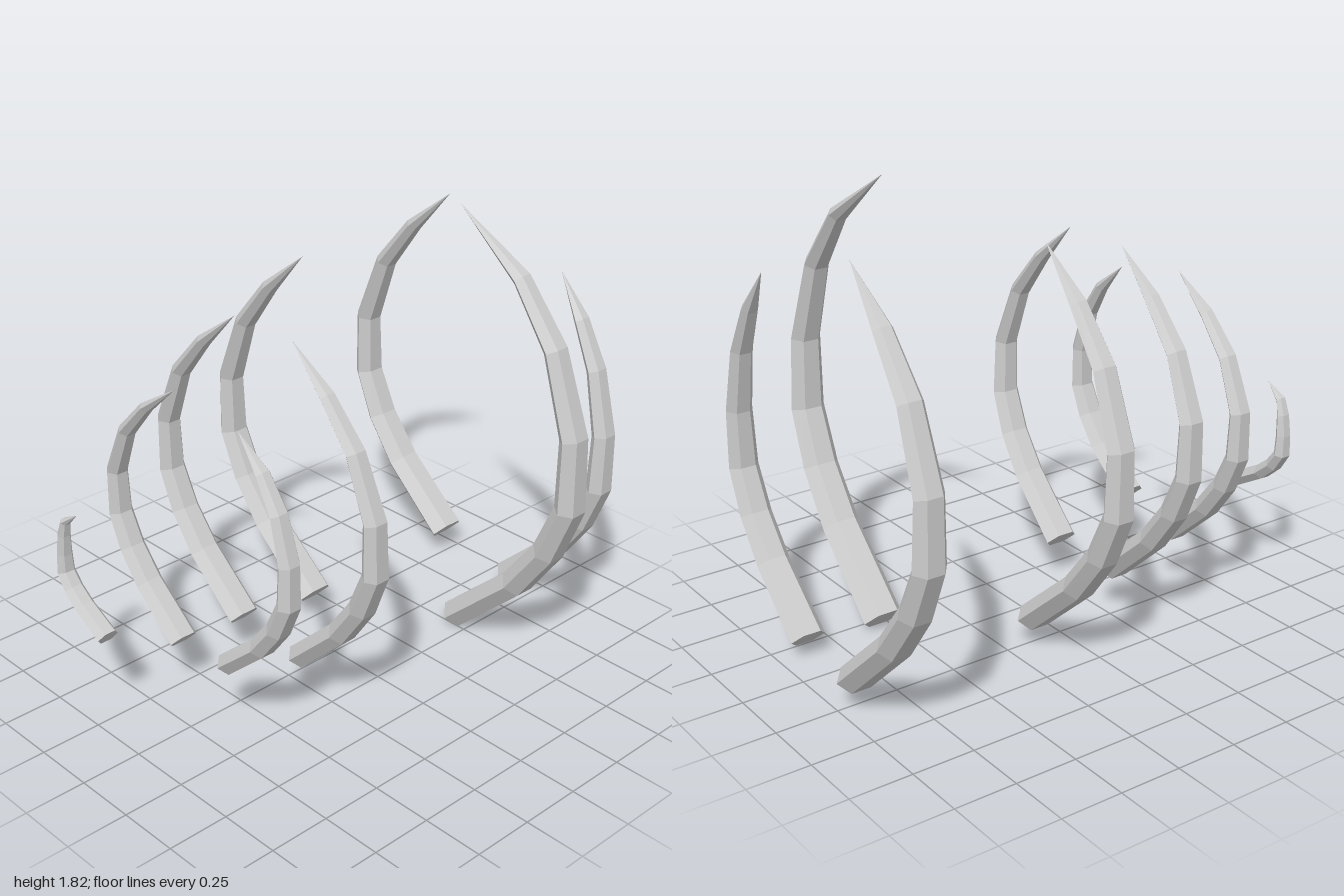
import * as THREE from 'three';

const SIDES = 6;
const FLATNESS = 0.65; // thickness of a rib relative to its width

// Shared rib profile: height fraction, outward bulge fraction, width fraction
const PROFILE = [
  [0, 0, 1], [0.16, 0.56, 0.96], [0.275, 0.83, 0.91], [0.4, 1, 0.86],
  [0.567, 1, 0.77], [0.75, 0.77, 0.65], [0.88, 0.43, 0.5], [1, 0, 0],
];

// side: 1 front, -1 back; base and tip are [x, distance from the middle, y];
// bulge is the farthest distance of the centre line; hook < 1 curls the tip
const RIBS = [
  { side: 1, base: [0.54, 0.18, 0.04], tip: [0.51, 0.14, 1.82], bulge: 0.735, width: 0.17, hook: 0.75 },
  { side: 1, base: [0.89, 0.15, 0.08], tip: [0.92, 0.31, 1.49], bulge: 0.58, width: 0.145, hook: 1 },
  { side: 1, base: [-0.285, 0.12, 0.175], tip: [-0.31, 0.11, 1.5], bulge: 0.525, width: 0.14, hook: 1 },
  { side: 1, base: [-0.638, 0.11, 0.295], tip: [-0.62, 0.17, 1.27], bulge: 0.435, width: 0.125, hook: 0.85 },
  { side: -1, base: [0.92, 0.25, 0.11], tip: [0.89, 0.26, 1.67], bulge: 0.735, width: 0.16, hook: 1 },
  { side: -1, base: [0.125, 0.25, 0.11], tip: [0.1, 0.28, 1.6], bulge: 0.735, width: 0.155, hook: 1 },
  { side: -1, base: [-0.285, 0.225, 0.19], tip: [-0.31, 0.2, 1.5], bulge: 0.635, width: 0.14, hook: 1 },
  { side: -1, base: [-0.62, 0.19, 0.245], tip: [-0.645, 0.14, 1.33], bulge: 0.535, width: 0.125, hook: 0.95 },
  { side: -1, base: [-0.955, 0.21, 0.395], tip: [-0.965, 0.34, 0.86], bulge: 0.445, width: 0.09, hook: 0.35 },
];

// Tapered hexagonal horn swept along the rib's centre line
function ribGeometry({ side, base, tip, bulge, width, hook }) {
  const centres = PROFILE.map(([v, f]) => {
    const upper = v > 0.5;
    const end = upper ? tip[1] : base[1];
    const out = end + (bulge - end) * (upper ? Math.pow(f, hook) : f);
    return new THREE.Vector3(
      THREE.MathUtils.lerp(base[0], tip[0], v),
      THREE.MathUtils.lerp(base[2], tip[2], v),
      side * out);
  });
  const across = new THREE.Vector3(1, 0, 0);
  const last = centres.length - 1;
  const positions = [];

  // One ring of corners per centre, square to the direction of travel
  centres.forEach((c, i) => {
    const before = centres[Math.max(i - 1, 0)];
    const after = centres[Math.min(i + 1, last)];
    const normal = after.clone().sub(before).setX(0).normalize().cross(across);
    const half = width * PROFILE[i][2] / 2;
    for (let j = 0; j < SIDES; j++) {
      const a = (j / SIDES) * Math.PI * 2;
      const p = c.clone()
        .addScaledVector(across, half * Math.cos(a))
        .addScaledVector(normal, half * FLATNESS * Math.sin(a) / Math.sin(Math.PI / 3));
      positions.push(p.x, p.y, p.z);
    }
  });

  const index = [];
  for (let i = 0; i < last; i++) {
    for (let j = 0; j < SIDES; j++) {
      const k = (j + 1) % SIDES;
      const a = i * SIDES + j, b = i * SIDES + k;
      const c = b + SIDES, d = a + SIDES;
      index.push(a, b, c);
      if (i < last - 1) index.push(a, c, d); // the final ring is a point
    }
  }
  // Flat cut at the root
  for (let j = 1; j < SIDES - 1; j++) index.push(0, j + 1, j);

  const geometry = new THREE.BufferGeometry();
  geometry.setAttribute('position', new THREE.Float32BufferAttribute(positions, 3));
  geometry.setIndex(index);
  const flat = geometry.toNonIndexed();
  flat.computeVertexNormals();
  return flat;
}

export function createModel() {
  const model = new THREE.Group();
  model.name = 'ribs';
  const bone = new THREE.MeshStandardMaterial({ color: 0xcccccc, flatShading: true });
  const counts = { frontRib: 0, backRib: 0 };
  for (const rib of RIBS) {
    const mesh = new THREE.Mesh(ribGeometry(rib), bone);
    const part = rib.side > 0 ? 'frontRib' : 'backRib';
    mesh.name = part + (++counts[part]);
    model.add(mesh);
  }
  return model;
}
